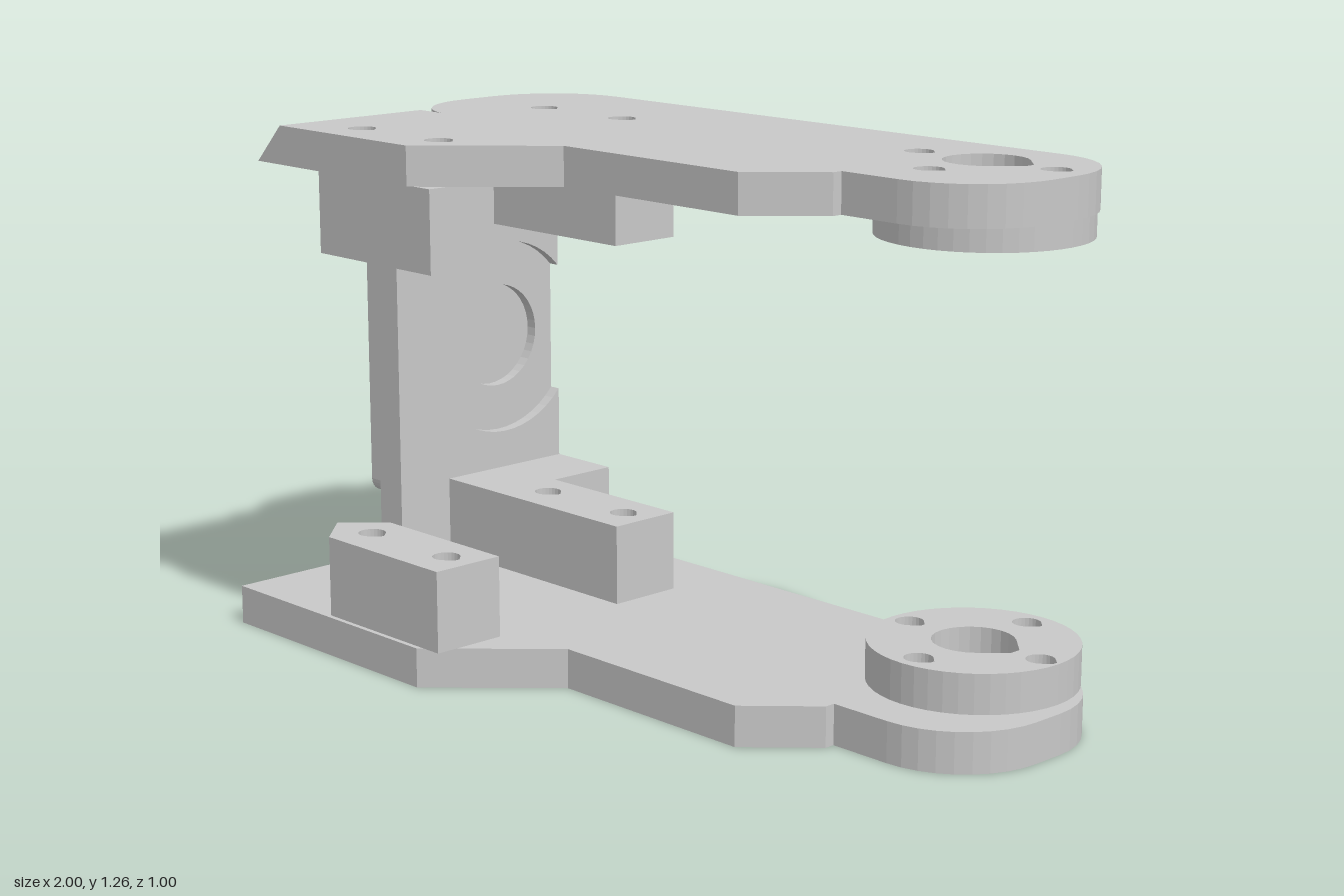
import * as THREE from 'three';

export function createModel() {
  const model = new THREE.Group();
  const grey = new THREE.MeshStandardMaterial({ color: 0xc8c8c8 });
  grey.name = 'plain grey';

  const add = (name, geometry) => {
    const mesh = new THREE.Mesh(geometry, grey);
    mesh.name = name;
    model.add(mesh);
  };
  const arc = (cx, cy, r, from, to, n = 16) =>
    Array.from({ length: n + 1 }, (_, i) => {
      const a = from + (to - from) * i / n;
      return [cx + r * Math.cos(a), cy + r * Math.sin(a)];
    });
  const circle = (cx, cy, r, n = 40) => arc(cx, cy, r, 0, Math.PI * 2, n).slice(0, n);
  // round hole with a blunt point towards +x
  const teardrop = (x, z, r) => [...arc(x, z, r, Math.PI / 4, Math.PI * 7 / 4, 18),
    [x + r * 1.25, z - r * 0.16], [x + r * 1.25, z + r * 0.16]];
  const extrude = (points, holes, depth, map) => {
    // outlines run anticlockwise and holes clockwise, so every wall faces outwards
    const path = (list, clockwise) => {
      const v = list.map(p => new THREE.Vector2(...map(p)));
      return THREE.ShapeUtils.isClockWise(v) === clockwise ? v : v.reverse();
    };
    const shape = new THREE.Shape(path(points, false));
    shape.holes = holes.map(h => new THREE.Path(path(h, true)));
    return new THREE.ExtrudeGeometry(shape, { depth, bevelEnabled: false });
  };
  // outline in (x, z), raised from y0 to y1
  const slab = (name, points, y0, y1, holes = []) =>
    add(name, extrude(points, holes, y1 - y0, ([x, z]) => [x, -z])
      .rotateX(-Math.PI / 2).translate(0, y0, 0));
  // outline in (z, y), from x0 to x1
  const panel = (name, points, x0, x1, holes = []) =>
    add(name, extrude(points, holes, x1 - x0, ([z, y]) => [-z, y])
      .rotateY(Math.PI / 2).translate(x0, 0, 0));
  // outline in (x, y), from z0 to z1
  const prism = (name, points, z0, z1) =>
    add(name, extrude(points, [], z1 - z0, p => p).translate(0, 0, z0));

  // Arm plates: rounded ends with a stepped tab at the front
  const h = Math.PI / 2, back = -0.447;
  const outline = tabX => [
    ...arc(0.775, back + 0.225, 0.225, -h, 0, 9), ...arc(0.775, -0.14, 0.225, 0, h, 9),
    [0.62, 0.085], [0.62, 0.11], [0.48, 0.25], [-0.065, 0.25], [-0.31, 0.5],
    [tabX, 0.5], [tabX, 0.08],
    ...arc(-0.655, -0.132, 0.217, h * 1.14, 2 * h, 9),
    ...arc(-0.655, back + 0.217, 0.217, 2 * h, 3 * h, 9),
  ];
  const px = 0.72, pz = -0.26;
  const backBolts = [[-0.61, -0.17], [-0.33, -0.17]];
  const frontBolts = [[-0.61, 0.39], [-0.33, 0.39]];
  const plateBolts = [[px - 0.19, pz], [px + 0.19, pz], [px, pz + 0.185]];
  const discBolts = [...plateBolts, [px, pz - 0.185]];
  const bolts = list => list.map(([x, z]) => teardrop(x, z, 0.033));
  const plateHoles = r =>
    [...bolts([...backBolts, ...frontBolts, ...plateBolts]), teardrop(px, pz, r)];
  slab('lowerArmPlate', outline(-1), 0, 0.095, plateHoles(0.06));
  slab('upperArmPlate', outline(-0.78), 1.17, 1.262, plateHoles(0.095));
  prism('upperTabBevel', [[-0.87, 1.17], [-0.78, 1.17], [-0.78, 1.262]], 0.08, 0.5);

  // Pivot discs
  const disc = circle(px, pz, 0.24, 44);
  slab('lowerPivotDisc', disc, 0.095, 0.188, [...bolts(discBolts), teardrop(px, pz, 0.095)]);
  slab('upperPivotDisc', disc, 1.102, 1.17, [teardrop(px, pz, 0.095)]);

  // Bolt blocks on the inside of each plate
  const frontBlock = [[-0.245, 0.302], [-0.245, 0.488], [-0.65, 0.488], [-0.74, 0.395], [-0.65, 0.302]];
  const backBlock = left => [[left, back], [-0.685, back], [-0.685, -0.26],
    [-0.245, -0.26], [-0.245, -0.07], [left, -0.07]];
  for (const [side, y0, y1, left, seam] of [
    ['lower', 0.095, 0.29, -0.88, 0.095],
    ['upper', 0.976, 1.17, -0.87, 1.167],
  ]) {
    slab(side + 'FrontBlock', frontBlock, y0, y1, bolts(frontBolts));
    slab(side + 'BackBlock', backBlock(left), y0, y1, bolts(backBolts));
    // thin webs closing the back bolt holes
    for (const [x, z] of backBolts) slab(side + 'BoltWeb', teardrop(x, z, 0.033), seam, seam + 0.003);
  }
  prism('upperBlockBevel',
    [[-0.965, 1.075], [-0.88, 1.075], [-0.88, 0.976], [-0.87, 0.976], [-0.87, 1.17]], back, -0.07);

  // End wall in three layers, giving a stepped round recess on the inside
  const wall = [[back, 0], [0.087, 0], [0.087, 1.075], [back, 1.075]];
  const cy = 0.635, cut = Math.acos((back - pz) / 0.25);
  panel('endWallOuter', wall, -0.965, -0.94);
  panel('endWallMiddle', wall, -0.94, -0.91, [circle(pz, cy, 0.133)]);
  panel('endWallInner', [...wall, ...arc(pz, cy, 0.25, cut, -cut, 40)], -0.91, -0.88);

  // Raised outer pad with rounded corners
  const r = 0.035;
  panel('outerPad', [
    ...arc(0.087 - r, 1.005 - r, r, 0, h, 6), ...arc(back + r, 1.005 - r, r, h, 2 * h, 6),
    ...arc(back + r, 0.262 + r, r, 2 * h, 3 * h, 6), ...arc(0.087 - r, 0.262 + r, r, 3 * h, 4 * h, 6),
  ], -1, -0.965);

  return model;
}
